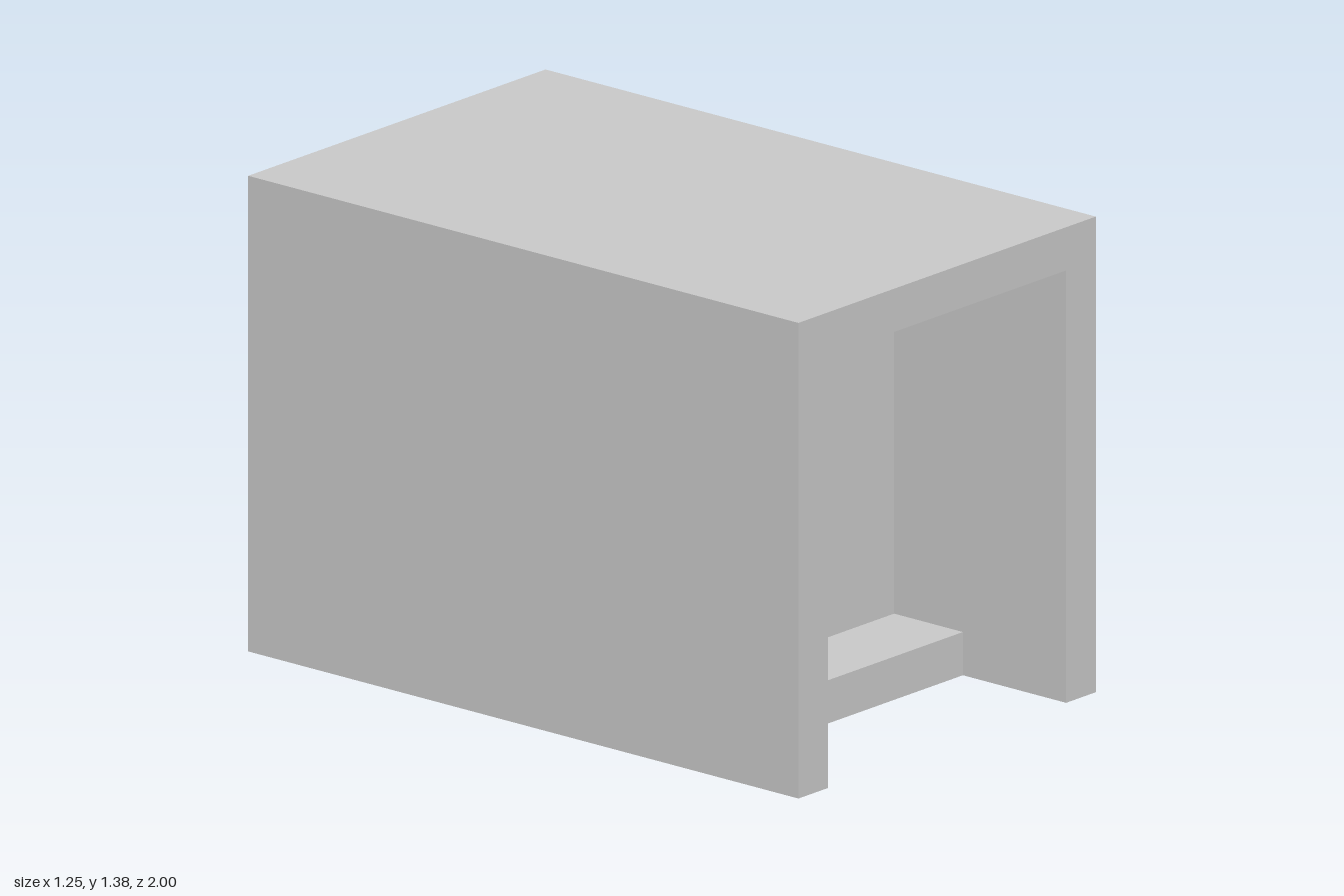
import * as THREE from 'three';

const material = new THREE.MeshStandardMaterial({ color: 0xcccccc, flatShading: true });

// Extrudes a closed outline, centred along its depth
function prism(name, outline, depth) {
  const shape = new THREE.Shape(outline.map(([x, y]) => new THREE.Vector2(x, y)));
  const geometry = new THREE.ExtrudeGeometry(shape, { depth, bevelEnabled: false });
  geometry.translate(0, 0, -depth / 2);
  const mesh = new THREE.Mesh(geometry, material);
  mesh.name = name;
  return mesh;
}

export function createModel() {
  const group = new THREE.Group();
  group.name = 'openShelter';
  const halfWidth = 0.625, height = 1.375, wall = 0.125, length = 2;
  const inner = halfWidth - wall, ceiling = height - wall;

  // Two side walls and roof, open at the bottom and both ends
  group.add(prism('shell', [
    [-halfWidth, 0], [-inner, 0], [-inner, ceiling], [inner, ceiling],
    [inner, 0], [halfWidth, 0], [halfWidth, height], [-halfWidth, height],
  ], length));

  // Cross wall with a low step on its front side, drawn in (z, y) and spanning x
  const partition = prism('partitionWithStep', [
    [0.25, 0], [0.625, 0], [0.625, wall], [0.375, wall], [0.375, ceiling], [0.25, ceiling],
  ], inner * 2);
  partition.rotation.y = -Math.PI / 2;
  group.add(partition);

  return group;
}
